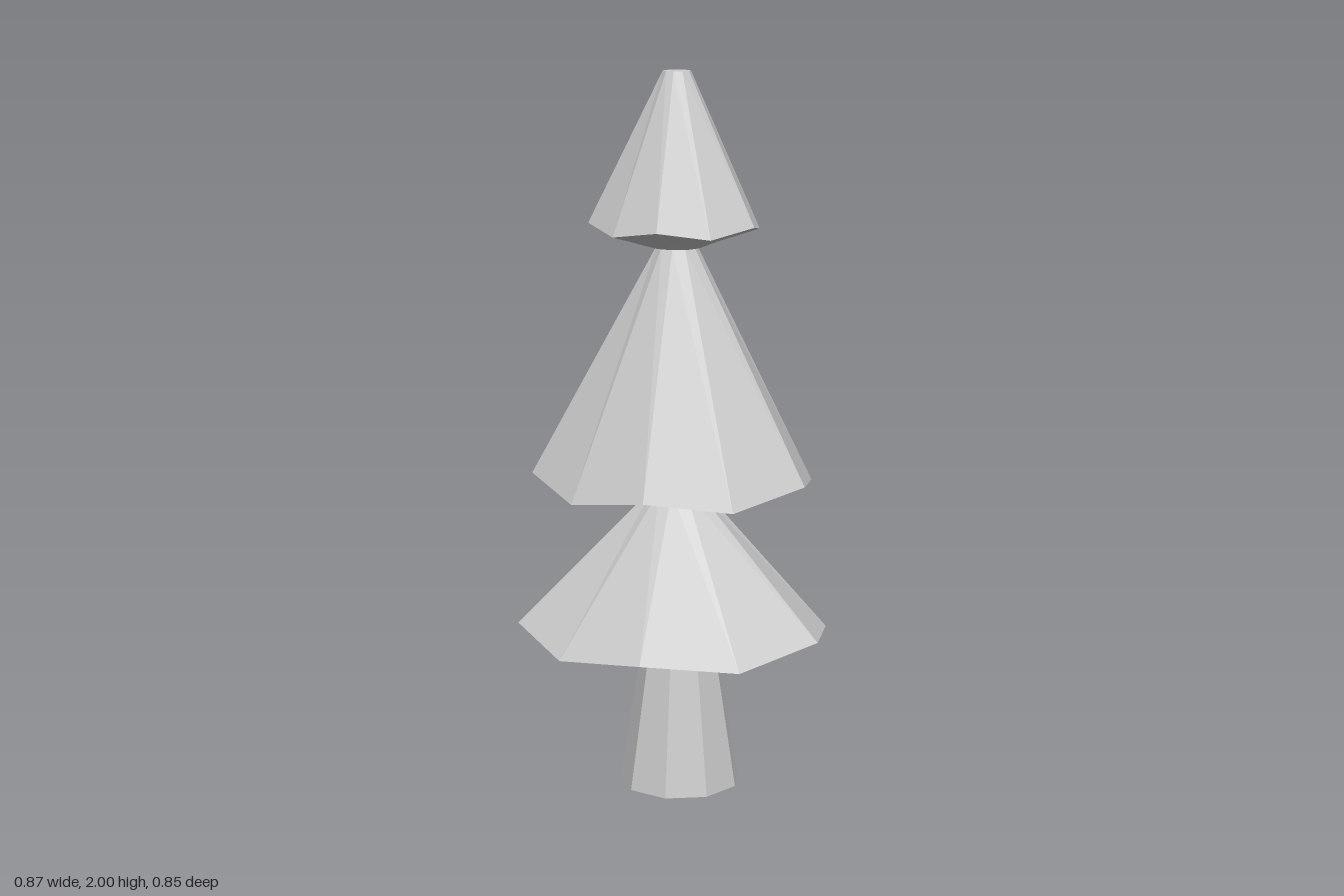
import * as THREE from 'three';

const material = new THREE.MeshStandardMaterial({ color: 0xcccccc, flatShading: true });
const SIDES = 10;

// One tier of branches: a ten-sided cone whose rim corners alternate
// between long raised tips and short drooping ones.
function tier(name, { bottom, inner, rimHigh, rimLow, long, short, top, tip }) {
  const profile = [
    new THREE.Vector2(0, bottom),
    new THREE.Vector2(inner, bottom),
    new THREE.Vector2(long, rimHigh),
    new THREE.Vector2(tip, top),
    new THREE.Vector2(0, top),
  ];
  const geometry = new THREE.LatheGeometry(profile, SIDES, THREE.MathUtils.degToRad(88));
  const pos = geometry.attributes.position;
  for (let i = 1; i <= SIDES; i += 2) {
    const v = i * profile.length + 2;
    const k = short / long;
    pos.setXYZ(v, pos.getX(v) * k, rimLow, pos.getZ(v) * k);
  }
  const mesh = new THREE.Mesh(geometry, material);
  mesh.name = name;
  mesh.position.set(-0.013, 0, -0.003);
  return mesh;
}

export function createModel() {
  const tree = new THREE.Group();
  tree.name = 'tree';

  // Tapered trunk
  const trunkGeometry = new THREE.CylinderGeometry(0.1, 0.17, 0.44, 9, 1, false, THREE.MathUtils.degToRad(63));
  const trunk = new THREE.Mesh(trunkGeometry, material);
  trunk.name = 'trunk';
  trunk.position.set(-0.005, 0.22, 0);
  tree.add(trunk);

  // Three tiers of branches, widest at the bottom
  tree.add(
    tier('lowerBranches', {
      bottom: 0.428, inner: 0.1, rimHigh: 0.475, rimLow: 0.44,
      long: 0.445, short: 0.422, top: 0.856, tip: 0.065,
    }),
    tier('middleBranches', {
      bottom: 0.855, inner: 0.07, rimHigh: 0.905, rimLow: 0.868,
      long: 0.4, short: 0.376, top: 1.53, tip: 0.055,
    }),
    tier('upperBranches', {
      bottom: 1.527, inner: 0.07, rimHigh: 1.595, rimLow: 1.573,
      long: 0.24, short: 0.226, top: 2, tip: 0.038,
    }),
  );
  return tree;
}
